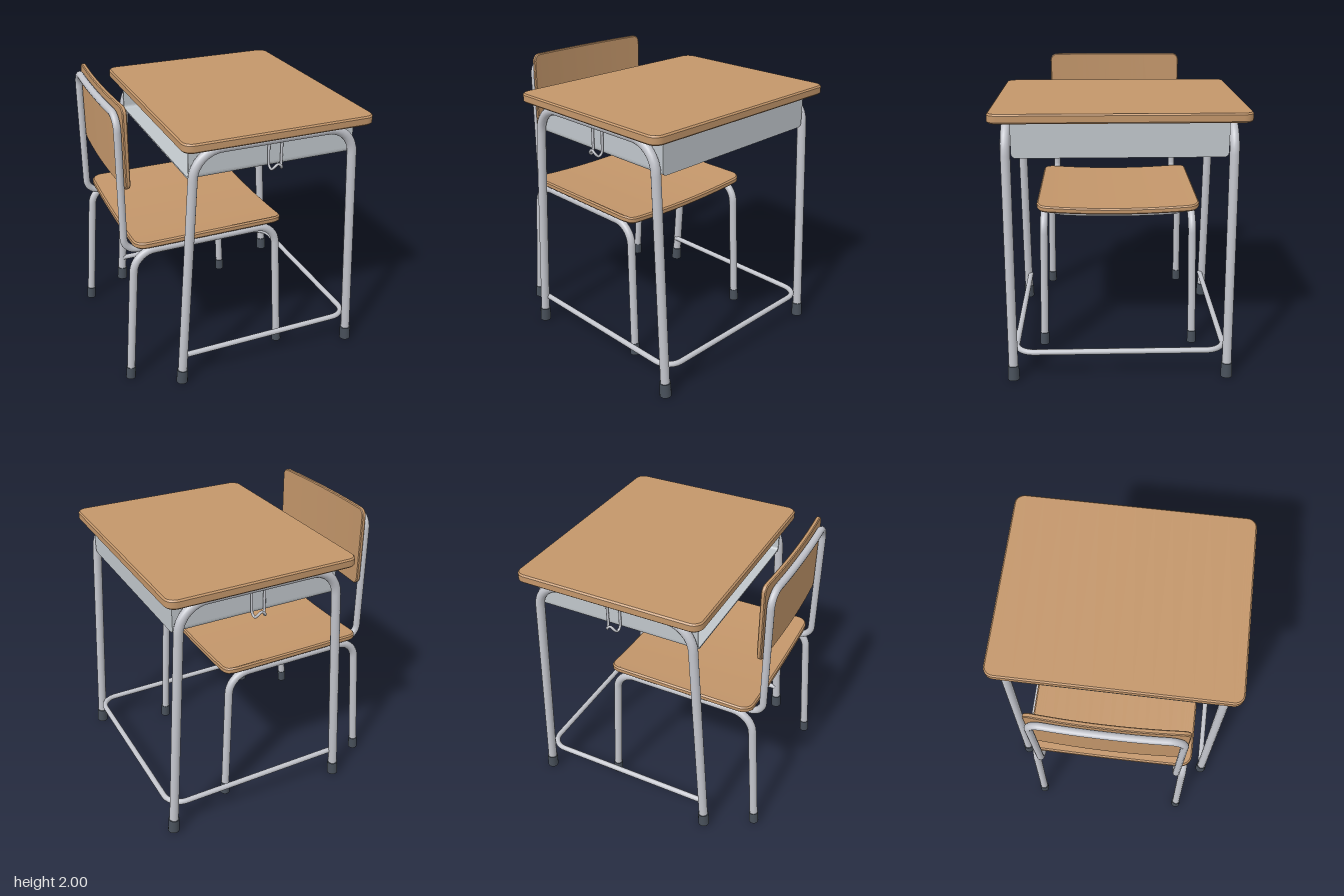
import * as THREE from 'three';
import { toCreasedNormals } from 'three/addons/utils/BufferGeometryUtils.js';

const wood = new THREE.MeshStandardMaterial({ color: 0xc3966a });
wood.name = 'wood';
const steel = new THREE.MeshStandardMaterial({ color: 0xc2c4cb });
steel.name = 'steel';
const sheet = new THREE.MeshStandardMaterial({ color: 0xc0c6cb });
sheet.name = 'sheetMetal';
const rubber = new THREE.MeshStandardMaterial({ color: 0x48505a });
rubber.name = 'rubber';

const V = (x, y, z) => new THREE.Vector3(x, y, z);

function part(parent, name, geometry, material) {
  const mesh = new THREE.Mesh(geometry, material);
  mesh.name = name;
  parent.add(mesh);
  return mesh;
}

// Path of straight runs with rounded corners; each corner is [x, y, z, trim]
function bentPath(corners, closed = false) {
  const path = new THREE.CurvePath();
  const n = corners.length;
  const pts = corners.map((c) => V(c[0], c[1], c[2]));
  let cursor = null, first = null;
  for (let i = 0; i < n; i++) {
    const p = pts[i];
    if (!closed && (i === 0 || i === n - 1)) {
      if (cursor) path.add(new THREE.LineCurve3(cursor, p));
      cursor = p;
      continue;
    }
    const trim = corners[i][3];
    const toward = (q, d) => p.clone().add(q.clone().sub(p).setLength(d));
    const prev = pts[(i + n - 1) % n], next = pts[(i + 1) % n];
    const a = toward(prev, trim), b = toward(next, trim);
    if (cursor) path.add(new THREE.LineCurve3(cursor, a));
    path.add(new THREE.CubicBezierCurve3(a, toward(prev, trim * 0.45), toward(next, trim * 0.45), b));
    first = first || a;
    cursor = b;
  }
  if (closed) path.add(new THREE.LineCurve3(cursor, first));
  return path;
}

// Board with rounded plan corners, chamfered edges and a lengthwise bend (raised ends)
function board(width, thick, length, radius, bend, chamfer = 0.01) {
  const arc = 6, flat = 12, segs = 2 * arc + flat;
  const g = new THREE.BoxGeometry(2, 2, 2, 1, 3, segs);
  const p = g.attributes.position;
  const L = length / 2, W = width / 2, T = thick / 2;
  for (let i = 0; i < p.count; i++) {
    const edge = Math.abs(p.getY(i)) > 0.9;
    const inset = edge ? chamfer : 0;
    const k = Math.round((p.getZ(i) + 1) / 2 * segs);
    const fromEnd = Math.min(k, segs - k);
    let z, w = W - inset;
    if (fromEnd < arc) {
      const t = fromEnd / arc * Math.PI / 2, r = radius - inset;
      z = (L - radius + r * Math.cos(t)) * (k < segs / 2 ? -1 : 1);
      w = W - radius + r * Math.sin(t);
    } else {
      z = (L - radius) * (2 * (k - arc) / flat - 1);
    }
    const y = Math.sign(p.getY(i)) * (edge ? T : T - chamfer);
    p.setXYZ(i, Math.sign(p.getX(i)) * w, y + bend * (z / L) ** 2, z);
  }
  return toCreasedNormals(g, 0.6);
}

// Rubber foot following the slope of a leg
function foot(parent, bottom, top, radius, height) {
  const dir = top.clone().sub(bottom).normalize();
  const cap = part(parent, 'foot', new THREE.CylinderGeometry(radius * 0.95, radius, height, 16), rubber);
  cap.position.copy(bottom).addScaledVector(dir, height / 2 + 0.004);
  cap.quaternion.setFromUnitVectors(V(0, 1, 0), dir);
}

// Side frame: two sloping legs joined by a top bar
function sideFrame(parent, b0, t0, t1, b1, trim, radius, footRadius, footHeight) {
  const lift = (b, t) => b.clone().lerp(t, 0.02).toArray();
  const path = bentPath([lift(b0, t0), [...t0.toArray(), trim], [...t1.toArray(), trim], lift(b1, t1)]);
  part(parent, 'sideFrame', new THREE.TubeGeometry(path, 110, radius, 14), steel);
  foot(parent, b0, t0, footRadius, footHeight);
  foot(parent, b1, t1, footRadius, footHeight);
}

function createDesk() {
  const desk = new THREE.Group();
  desk.name = 'desk';

  part(desk, 'deskTop', board(1.33, 0.062, 1.66, 0.07, 0), wood).position.set(0.165, 1.804, 0);

  for (const s of [1, -1]) {
    const z = 0.728 * s;
    sideFrame(desk, V(-0.508, 0, z), V(-0.4, 1.742, z), V(0.718, 1.742, z), V(0.82, 0, z), 0.18, 0.032, 0.04, 0.1);

    // Bag hook: a wire dropping down, curling outward and arching across
    const half = [[-0.046, 1.74, 0.705], [-0.046, 1.62, 0.705], [-0.043, 1.55, 0.71],
      [-0.036, 1.533, 0.73], [-0.028, 1.55, 0.748]];
    const wire = [...half, [0, 1.572, 0.752], ...half.map(([x, y, w]) => [-x, y, w]).reverse()];
    const hook = new THREE.CatmullRomCurve3(wire.map(([x, y, w]) => V(0.167 + x, y, w * s)));
    part(desk, 'bagHook', new THREE.TubeGeometry(hook, 64, 0.009, 8), steel);
  }

  // Book tray: folded sheet channel, open toward the chair
  const outline = new THREE.Shape();
  const h = 0.69, top = 1.773, low = 1.538, r = 0.035, t = 0.01;
  outline.moveTo(-h, top);
  outline.lineTo(-h, low + r);
  outline.quadraticCurveTo(-h, low, -h + r, low);
  outline.lineTo(h - r, low);
  outline.quadraticCurveTo(h, low, h, low + r);
  outline.lineTo(h, top);
  const endShape = outline.clone();
  outline.lineTo(h - t, top);
  outline.lineTo(h - t, low + r);
  outline.quadraticCurveTo(h - t, low + t, h - r, low + t);
  outline.lineTo(-h + r, low + t);
  outline.quadraticCurveTo(-h + t, low + t, -h + t, low + r);
  outline.lineTo(-h + t, top);
  const slab = (shape, depth) =>
    new THREE.ExtrudeGeometry(shape, { depth, bevelEnabled: false, curveSegments: 6 }).rotateY(Math.PI / 2);
  part(desk, 'bookTray', slab(outline, 1.165), sheet).position.x = -0.425;
  part(desk, 'bookTrayEnd', slab(endShape, 0.01), sheet).position.x = 0.74;

  // Floor stretcher running round three sides
  const stretcher = bentPath([[-0.495, 0.205, 0.708], [0.824, 0.205, 0.708, 0.12],
    [0.824, 0.205, -0.708, 0.12], [-0.495, 0.205, -0.708]]);
  part(desk, 'stretcher', new THREE.TubeGeometry(stretcher, 140, 0.02, 12), steel);
  return desk;
}

function createChair() {
  const chair = new THREE.Group();
  chair.name = 'chair';

  const seat = board(1.07, 0.045, 1.16, 0.08, 0.025);
  // Front edge of the seat rolls down slightly
  const p = seat.attributes.position;
  for (let i = 0; i < p.count; i++) if (p.getX(i) > 0.5) p.setY(i, p.getY(i) - 0.006);
  part(chair, 'seat', seat, wood).position.set(-0.215, 1.034, 0);

  const back = board(0.56, 0.03, 1.02, 0.05, 0.02, 0.006).rotateZ(-Math.PI / 2);
  part(chair, 'backrest', back, wood).position.set(-0.78, 1.72, 0);

  for (const s of [1, -1]) {
    sideFrame(chair, V(-0.828, 0, 0.547 * s), V(-0.752, 1, 0.53 * s), V(0.278, 1, 0.53 * s),
      V(0.325, 0, 0.547 * s), 0.14, 0.028, 0.034, 0.09);
  }

  // One closed tube carries both the backrest and the seat
  const loop = bentPath([
    [-0.805, 1, 0.48, 0.09], [-0.805, 1.945, 0.48, 0.1], [-0.83, 1.945, 0, 0.34], [-0.805, 1.945, -0.48, 0.1],
    [-0.805, 1, -0.48, 0.09], [0.21, 1, -0.48, 0.1], [0.21, 0.973, 0, 0.34], [0.21, 1, 0.48, 0.1],
  ], true);
  part(chair, 'backFrame', new THREE.TubeGeometry(loop, 320, 0.025, 12, true), steel);
  return chair;
}

export function createModel() {
  const model = new THREE.Group();
  model.name = 'schoolDeskAndChair';
  model.add(createDesk(), createChair());
  return model;
}
